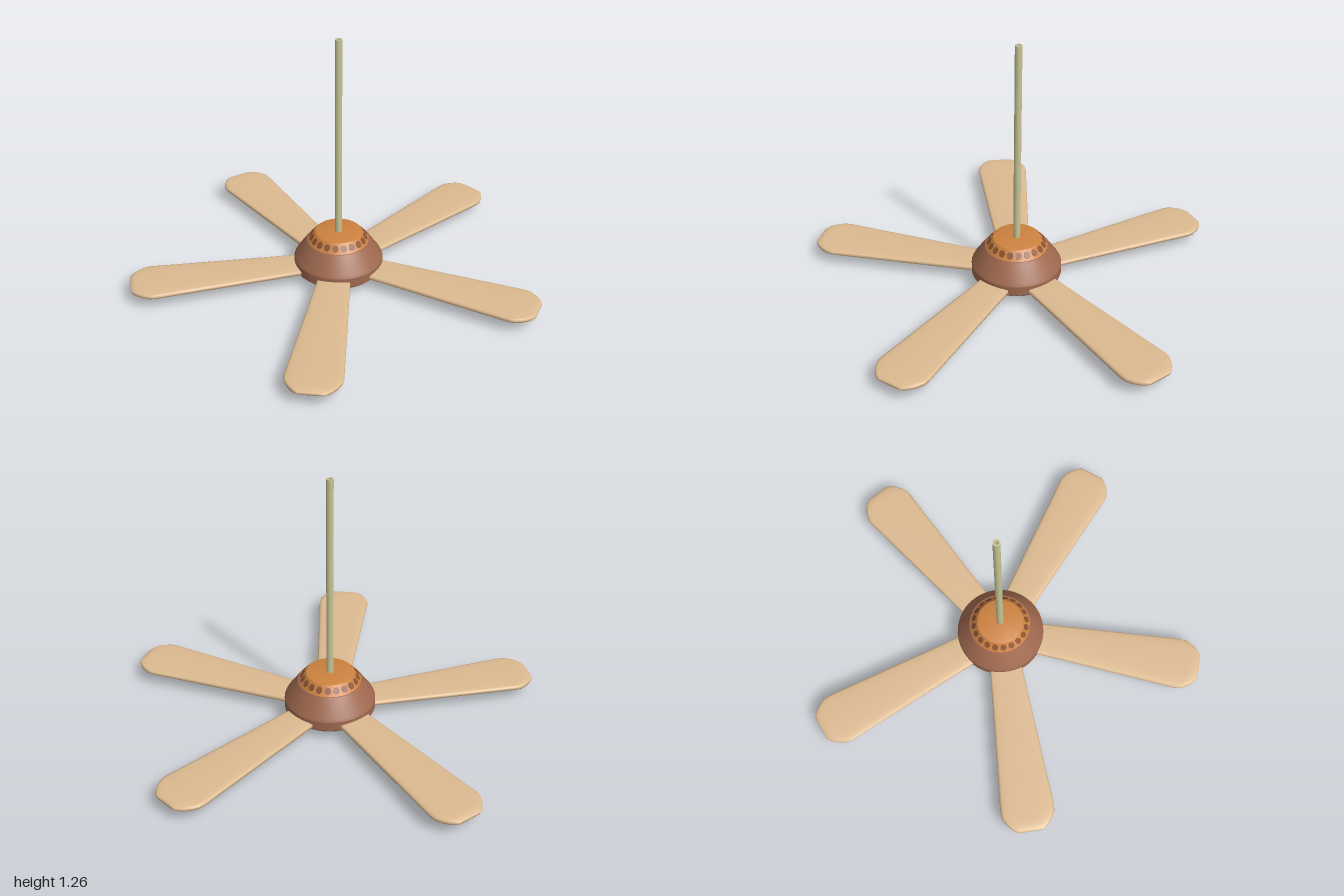
import * as THREE from 'three';
import { toCreasedNormals } from 'three/addons/utils/BufferGeometryUtils.js';

const material = (name, color) => new THREE.MeshStandardMaterial({ name, color });

// Revolved part from [radius, height] pairs, bottom to top
function lathe(name, profile, mat, segments = 48) {
  const points = profile.map(([r, y]) => new THREE.Vector2(r, y));
  const geometry = toCreasedNormals(new THREE.LatheGeometry(points, segments), 0.45);
  const mesh = new THREE.Mesh(geometry, mat);
  mesh.name = name;
  return mesh;
}

// Softly cushioned paddle along +z, lofted from flattened oval sections
function bladeGeometry() {
  const sections = [ // distance from axis, half width, half thickness
    [0.12, 0.076, 0.016], [0.35, 0.092, 0.016], [0.6, 0.11, 0.016], [0.8, 0.124, 0.016],
    [0.92, 0.133, 0.016], [0.95, 0.129, 0.016], [0.98, 0.113, 0.016], [1.005, 0.094, 0.015],
    [1.022, 0.074, 0.011], [1.03, 0.062, 0.006], [1.03, 0.058, 0],
  ];
  const n = 28, positions = [], index = [];
  sections.forEach(([z, w, h], i) => {
    for (let j = 0; j < n; j++) {
      const t = (j / n) * Math.PI * 2, s = Math.sin(t);
      positions.push(w * Math.cos(t), h * Math.sign(s) * Math.abs(s) ** 0.4, z);
      if (i === sections.length - 1) continue;
      const a = i * n + j, b = i * n + (j + 1) % n;
      index.push(a, b, a + n, b, b + n, a + n);
    }
  });
  const geometry = new THREE.BufferGeometry();
  geometry.setAttribute('position', new THREE.Float32BufferAttribute(positions, 3));
  geometry.setIndex(index);
  geometry.computeVertexNormals();
  return geometry;
}

export function createModel() {
  const wood = material('blade wood', 0xdcba90);
  const brown = material('housing brown', 0xa0694f);
  const copper = material('copper', 0xcd823f);
  const dark = material('vent brown', 0x8a5233);
  const grey = material('cap grey', 0x808080);
  const brass = material('pale brass', 0xc8c696);

  const fan = new THREE.Group();
  fan.name = 'ceilingFan';
  fan.position.set(-0.01, 0, -0.09);

  // Motor housing, stacked from the bottom cap to the copper collar
  fan.add(lathe('bottomCap', [[0, 0], [0.14, 0], [0.155, 0.004], [0.2, 0.036], [0.2, 0.042]], grey));
  fan.add(lathe('motorHousing', [[0.19, 0.04], [0.202, 0.04], [0.22, 0.056], [0.22, 0.103],
    [0.213, 0.117], [0.155, 0.2], [0.148, 0.2]], brown));
  fan.add(lathe('ventCollar', [[0.151, 0.199], [0.115, 0.244], [0.108, 0.246], [0, 0.246]], copper));

  // Ring of vents lying on the sloping collar
  const vents = new THREE.Group();
  vents.name = 'vents';
  const ventShape = new THREE.CylinderGeometry(0.0155, 0.0155, 0.003, 12);
  ventShape.scale(1, 1, 1.15);
  const slope = Math.atan2(0.045, 0.036);
  for (let i = 0; i < 20; i++) {
    const holder = new THREE.Group();
    holder.rotation.y = (i / 20) * Math.PI * 2;
    const vent = new THREE.Mesh(ventShape, dark);
    vent.name = 'vent';
    vent.position.set(0, 0.2215, 0.133);
    vent.rotation.x = slope;
    holder.add(vent);
    vents.add(holder);
  }
  fan.add(vents);

  // Hollow hanging rod
  fan.add(lathe('downRod', [[0.017, 0.24], [0.017, 1.26], [0.009, 1.26], [0.009, 1.2], [0, 1.2]], brass, 20));

  // Five blades around the housing
  const blade = bladeGeometry();
  [0, 72, 141, -140, -71].forEach((degrees) => {
    const mesh = new THREE.Mesh(blade, wood);
    mesh.name = 'blade';
    mesh.position.y = 0.071;
    mesh.rotation.y = THREE.MathUtils.degToRad(degrees);
    fan.add(mesh);
  });

  const model = new THREE.Group();
  model.name = 'model';
  model.add(fan);
  return model;
}
